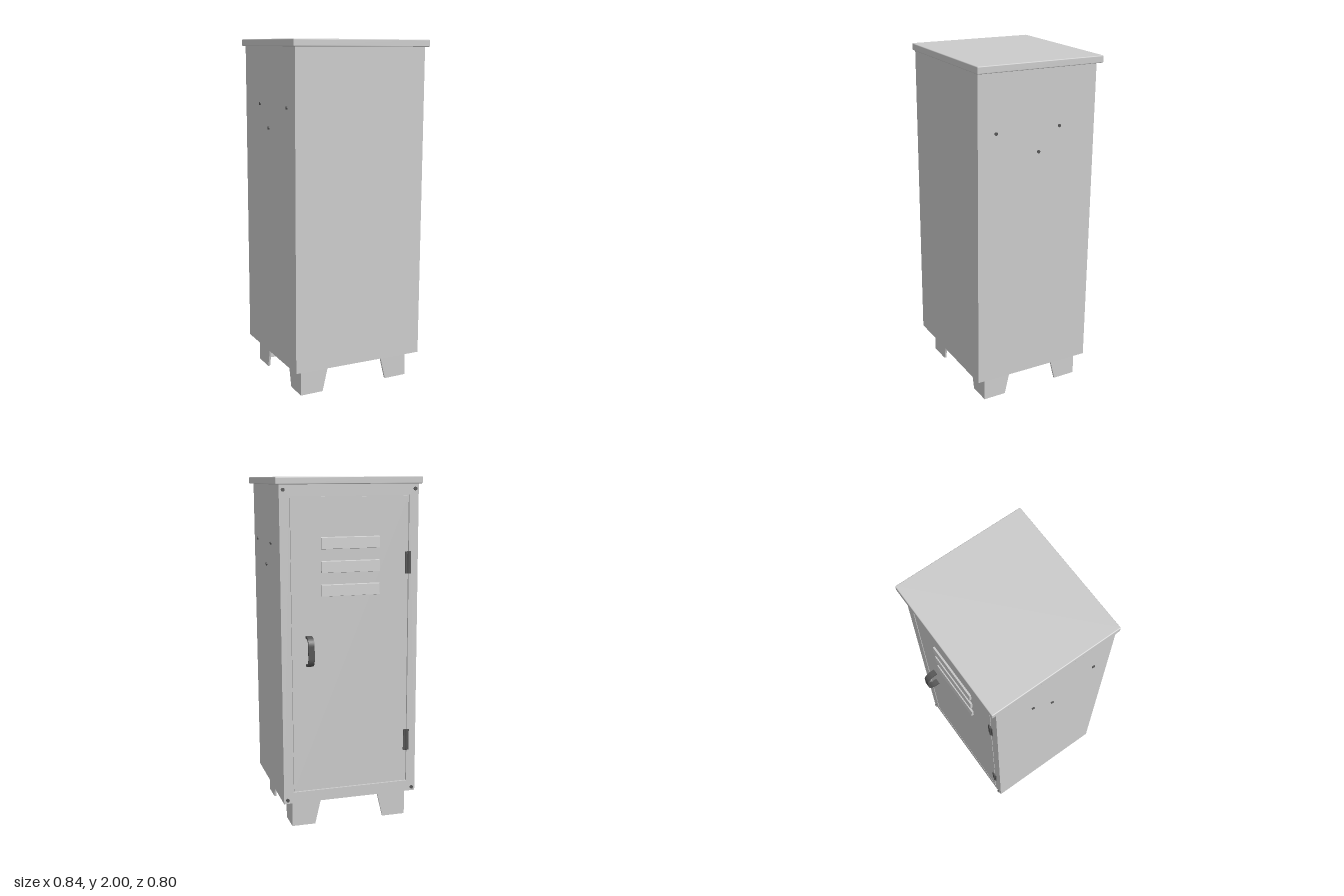
import * as THREE from 'three';
import { RoundedBoxGeometry } from 'three/addons/geometries/RoundedBoxGeometry.js';

const grey = new THREE.MeshStandardMaterial({ color: 0xcccccc });
const dark = new THREE.MeshStandardMaterial({ color: 0x555555 });

function add(parent, name, geometry, material, x = 0, y = 0, z = 0) {
  const mesh = new THREE.Mesh(geometry, material);
  mesh.name = name;
  mesh.position.set(x, y, z);
  parent.add(mesh);
  return mesh;
}

const box = (w, h, d) => new THREE.BoxGeometry(w, h, d);
const extrude = (shape, depth) =>
  new THREE.ExtrudeGeometry(shape, { depth, bevelEnabled: false, curveSegments: 8 });
const polygon = (points) => new THREE.Shape(points.map(([x, y]) => new THREE.Vector2(x, y)));

function rectangle(path, w, h) {
  path.moveTo(-w / 2, -h / 2);
  path.lineTo(w / 2, -h / 2);
  path.lineTo(w / 2, h / 2);
  path.lineTo(-w / 2, h / 2);
  path.closePath();
  return path;
}

// Profile (outward, up) swept across the door, centred on x
function acrossDoor(parent, name, shape, width, material, x, y, z) {
  const geometry = extrude(shape, width).translate(0, 0, -width / 2).rotateY(Math.PI / 2);
  return add(parent, name, geometry, material, x, y, z);
}

// Angle-plate foot: two tapered flanges meeting at the outer corner
function createLeg(x, z, quarterTurns) {
  const leg = new THREE.Group();
  leg.name = 'leg';
  const t = 0.012;
  const flange = extrude(polygon([[0, 0], [0, 0.16], [-0.175, 0.16], [-0.137, 0]]), t);
  add(leg, 'legFlange', flange, grey, 0, 0, -t);
  add(leg, 'legFlange', flange, grey).rotation.y = -Math.PI / 2;
  leg.position.set(x, 0, z);
  leg.rotation.y = quarterTurns * Math.PI / 2;
  return leg;
}

// Flat strap bent into a rounded grip
function handleShape() {
  const out = 0.07, h = 0.085, r = 0.05, t = 0.012;
  const s = new THREE.Shape();
  s.moveTo(0, -h);
  s.lineTo(out - r, -h);
  s.absarc(out - r, -h + r, r, -Math.PI / 2, 0, false);
  s.absarc(out - r, h - r, r, 0, Math.PI / 2, false);
  s.lineTo(0, h);
  s.lineTo(0, h - t);
  s.absarc(out - r, h - r, r - t, Math.PI / 2, 0, true);
  s.absarc(out - r, -h + r, r - t, 0, -Math.PI / 2, true);
  s.lineTo(0, -h + t);
  s.closePath();
  return s;
}

export function createModel() {
  const model = new THREE.Group();
  model.name = 'locker';

  // Cabinet leans very slightly on its feet
  const cabinet = new THREE.Group();
  cabinet.name = 'cabinet';
  cabinet.position.set(-0.013, 1.058, 0.029);
  cabinet.rotation.set(-0.0065, -0.008, -0.0075);
  model.add(cabinet);

  const W = 0.794, H = 1.8, face = -0.362, rim = 0.012;
  add(cabinet, 'body', box(W, H, 0.724 - rim), grey, 0, 0, rim / 2);
  add(cabinet, 'lid', new RoundedBoxGeometry(0.832, 0.04, 0.766, 2, 0.005), grey, 0.006, 0.916, -0.008);

  // Door frame with the door set in its opening
  const frame = rectangle(new THREE.Shape(), W, H);
  frame.holes.push(rectangle(new THREE.Path(), 0.686, 1.67));
  add(cabinet, 'doorFrame', extrude(frame, rim), grey, 0, 0, face);
  add(cabinet, 'door', box(0.674, 1.658, rim), grey, 0, 0, face + rim / 2 + 0.001);

  // Louvres, leaning out towards their lower edge
  const louvre = polygon([[-0.002, 0.034], [0.009, 0.03], [0.013, -0.03], [-0.002, -0.033]]);
  for (const y of [0.58, 0.45, 0.32]) acrossDoor(cabinet, 'louvre', louvre, 0.335, grey, 0, y, face);

  acrossDoor(cabinet, 'handle', handleShape(), 0.034, dark, 0.243, -0.013, face + 0.001);

  // Hinges: leaf plate and knuckle
  for (const y of [0.46, -0.58]) {
    add(cabinet, 'hingeLeaf', box(0.034, 0.125, 0.006), dark, -0.338, y, face - 0.002);
    add(cabinet, 'hingeKnuckle', new THREE.CylinderGeometry(0.007, 0.007, 0.125, 12), dark, -0.341, y, face - 0.003);
  }

  // Corner screws on the frame
  const screw = new THREE.CylinderGeometry(0.01, 0.01, 0.012, 12).rotateX(Math.PI / 2);
  for (const x of [-0.376, 0.376])
    for (const y of [0.868, -0.878]) add(cabinet, 'frameScrew', screw, dark, x, y, face - 0.002);

  // Three rivets on each side wall
  const rivet = new THREE.CylinderGeometry(0.009, 0.009, 0.012, 12).rotateZ(Math.PI / 2);
  for (const side of [-1, 1])
    for (const [y, z] of [[0.572, 0.255], [0.572, -0.135], [0.442, -0.006]])
      add(cabinet, 'sideRivet', rivet, dark, side * W / 2, y, z);

  // Legs, one per corner
  const corners = [[0.325, 0.335], [0.325, -0.29], [-0.365, -0.29], [-0.365, 0.335]];
  corners.forEach(([x, z], i) => model.add(createLeg(x, z, i)));

  return model;
}
